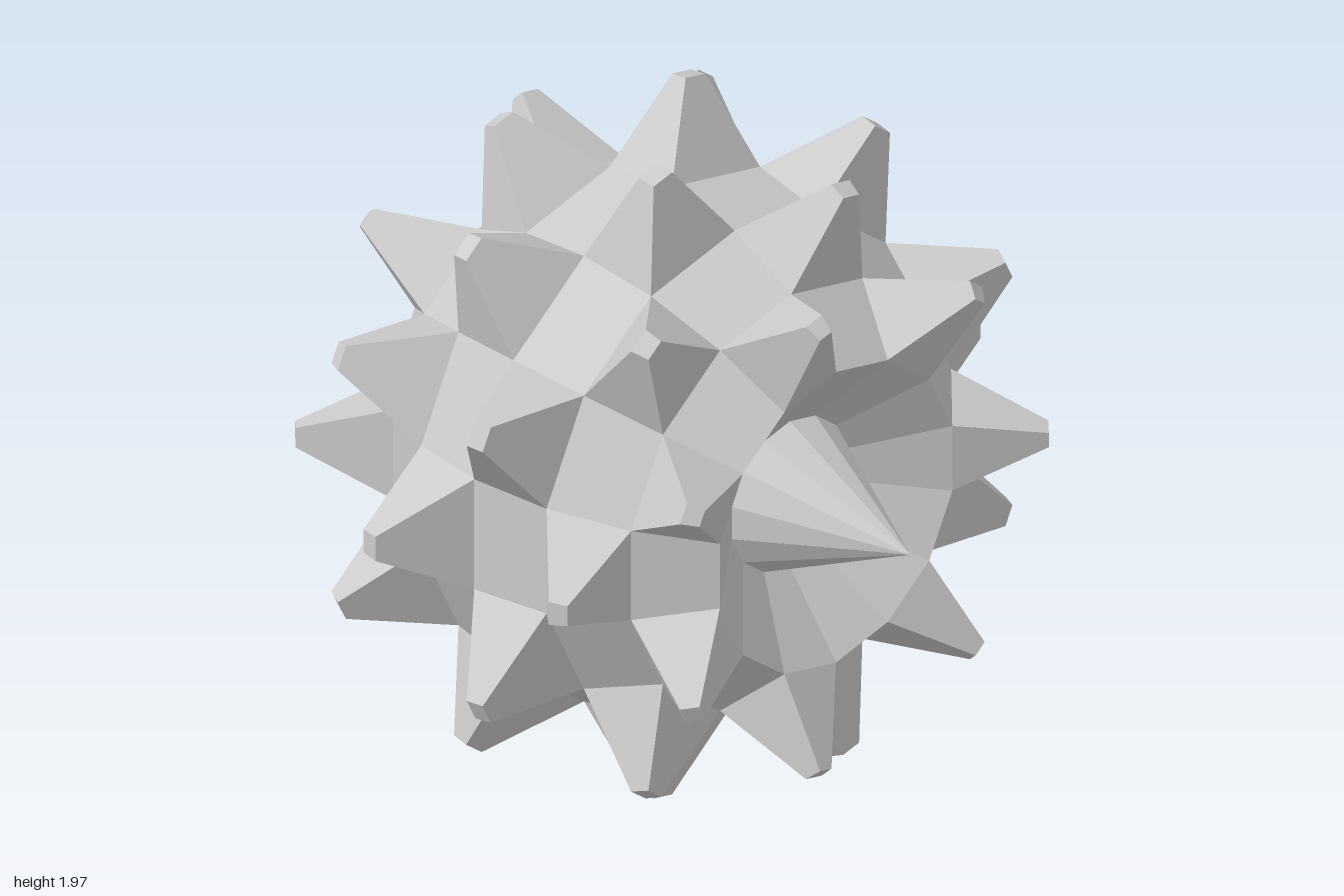
import * as THREE from 'three';

const SEGMENTS = 14, RADIUS = 0.775;
const SPIKE_LENGTH = 0.262, TIP_SCALE = 0.22;
const LAT_STEP = Math.PI / 10, LON_STEP = (2 * Math.PI) / SEGMENTS;

// Point on the sphere; its poles lie on the z axis
function spherePoint(lat, lon) {
  const r = RADIUS * Math.cos(lat);
  return new THREE.Vector3(r * Math.cos(lon), r * Math.sin(lon), RADIUS * Math.sin(lat));
}

// Flat-shaded geometry from four-cornered faces, corners counter-clockwise
function quadGeometry(quads) {
  const points = quads.flatMap(([a, b, c, d]) => [a, b, c, a, c, d]);
  const geometry = new THREE.BufferGeometry().setFromPoints(points);
  geometry.computeVertexNormals();
  return geometry;
}

// Tapered spike growing out of one sphere cell
function spikeQuads(base) {
  const centre = new THREE.Vector3();
  base.forEach((p) => centre.addScaledVector(p, 0.25));
  const normal = base[2].clone().sub(base[0]).cross(base[3].clone().sub(base[1])).normalize();
  const tip = base.map((p) =>
    p.clone().sub(centre).multiplyScalar(TIP_SCALE).add(centre).addScaledVector(normal, SPIKE_LENGTH));
  const sides = base.map((p, i) => {
    const j = (i + 1) % 4;
    return [p, base[j], tip[j], tip[i]];
  });
  return [...sides, tip];
}

export function createModel() {
  const model = new THREE.Group();
  model.name = 'spikedBall';
  const material = new THREE.MeshStandardMaterial({ color: 0xcccccc, flatShading: true });
  const craterMaterial = material.clone();
  craterMaterial.side = THREE.DoubleSide;

  const add = (parent, name, geometry, mat = material) => {
    const mesh = new THREE.Mesh(geometry, mat);
    mesh.name = name;
    parent.add(mesh);
    return mesh;
  };

  // Checkerboard of plain panels and spikes in six bands
  const panels = [];
  const spikes = new THREE.Group();
  spikes.name = 'spikes';
  for (let band = 0; band < 6; band++) {
    const front = (3 - band) * LAT_STEP, back = front - LAT_STEP;
    for (let i = 0; i < SEGMENTS; i++) {
      const a0 = (i - 0.5) * LON_STEP, a1 = a0 + LON_STEP;
      const cell = [
        spherePoint(front, a0), spherePoint(back, a0),
        spherePoint(back, a1), spherePoint(front, a1),
      ];
      if ((band + i) % 2 === 0) add(spikes, 'spike', quadGeometry(spikeQuads(cell)));
      else panels.push(cell);
    }
  }
  add(model, 'bodyPanels', quadGeometry(panels));
  model.add(spikes);

  // Sunken crater with a long central cone at each pole
  const rimR = RADIUS * Math.cos(3 * LAT_STEP), rimZ = RADIUS * Math.sin(3 * LAT_STEP);
  const floorR = 0.227, floorZ = 0.45, tipZ = 0.91;
  for (const side of [1, -1]) {
    const pole = new THREE.Group();
    pole.name = side > 0 ? 'frontPole' : 'backPole';
    pole.rotation.x = (side * Math.PI) / 2;
    const crater = add(pole, 'crater',
      new THREE.CylinderGeometry(rimR, floorR, rimZ - floorZ, SEGMENTS, 1, true), craterMaterial);
    crater.position.y = (rimZ + floorZ) / 2;
    const cone = add(pole, 'poleCone',
      new THREE.ConeGeometry(floorR, tipZ - floorZ, SEGMENTS, 1, true));
    cone.position.y = (tipZ + floorZ) / 2;
    model.add(pole);
  }

  // Stand the model on the ground
  model.position.y = -new THREE.Box3().setFromObject(model, true).min.y;
  return model;
}
